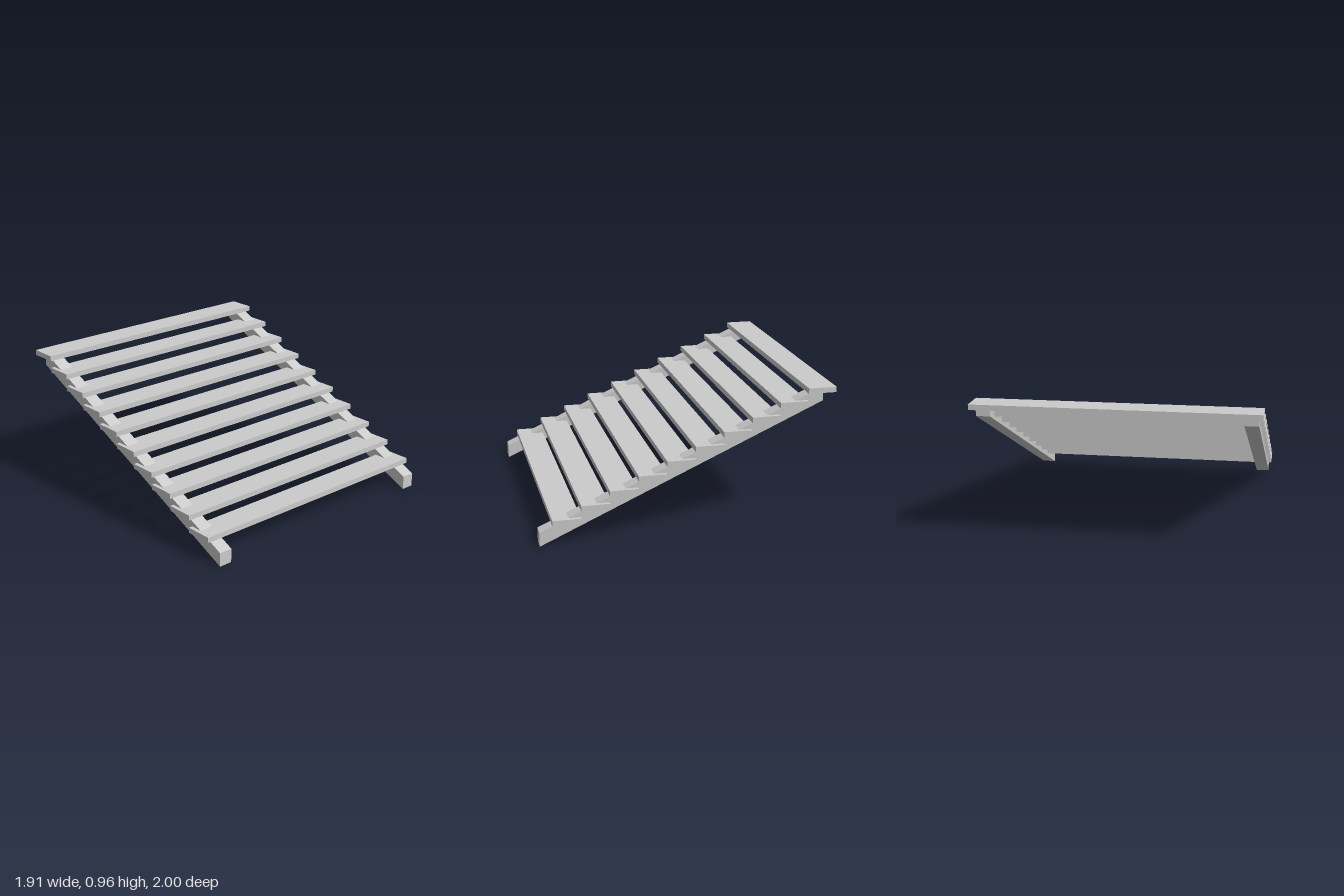
import * as THREE from 'three';

export function createModel() {
  const group = new THREE.Group();
  const material = new THREE.MeshStandardMaterial({ color: 0xcccccc, flatShading: true });

  const count = 10;
  const depth = 0.1913; // tread depth, also the run of each step
  const rise = 0.0863;
  const thickness = 0.037;
  const slope = rise / depth;

  // Horizontal treads, climbing towards the back
  const treadGeometry = new THREE.BoxGeometry(1.914, thickness, depth);
  for (let i = 0; i < count; i++) {
    const tread = new THREE.Mesh(treadGeometry, material);
    tread.name = `tread${i + 1}`;
    tread.position.set(0, 0.1645 + i * rise, 0.9174 - depth * (i + 0.5));
    group.add(tread);
  }

  // Sloping side beams with vertical end cuts; shape x runs along -z
  const length = 1.913;
  const beamHeight = 0.097;
  const beamWidth = 0.095;
  const topCut = 0.95; // trimmed flat inside the last tread
  const profile = new THREE.Shape([
    new THREE.Vector2(-1, 0),
    new THREE.Vector2(length - 1, length * slope),
    new THREE.Vector2(length - 1, topCut),
    new THREE.Vector2((topCut - beamHeight) / slope - 1, topCut),
    new THREE.Vector2(-1, beamHeight),
  ]);
  const beamGeometry = new THREE.ExtrudeGeometry(profile, { depth: beamWidth, bevelEnabled: false });
  beamGeometry.translate(0, 0, -beamWidth / 2);
  beamGeometry.rotateY(Math.PI / 2);
  for (const side of [-1, 1]) {
    const beam = new THREE.Mesh(beamGeometry, material);
    beam.name = side > 0 ? 'leftStringer' : 'rightStringer';
    beam.position.x = side * 0.882;
    group.add(beam);
  }

  return group;
}
